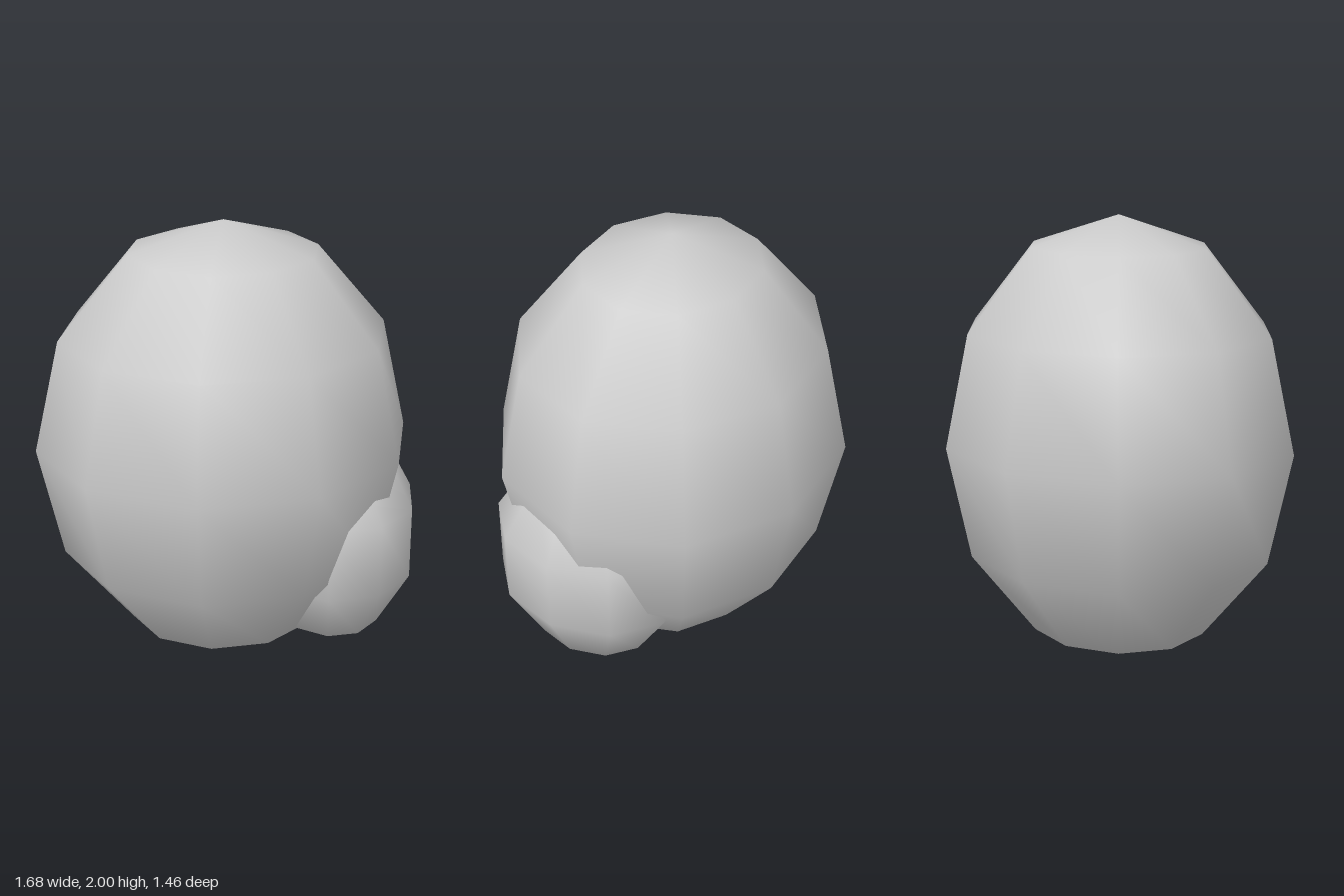
import * as THREE from 'three';

const material = new THREE.MeshStandardMaterial({ color: 0xcccccc });

// Low-sided ellipsoid with smooth normals
function ellipsoid(name, rings, radii, position) {
  const geometry = new THREE.SphereGeometry(1, 10, rings);
  geometry.scale(...radii);
  const mesh = new THREE.Mesh(geometry, material);
  mesh.name = name;
  mesh.position.set(...position);
  return mesh;
}

export function createModel() {
  const group = new THREE.Group();
  group.name = 'boulder';
  // Tall main body standing on its lower pole
  group.add(ellipsoid('mainBody', 6, [0.838, 1, 0.77], [0, 1, 0]));
  // Smaller lump sunk into the lower left front
  group.add(ellipsoid('sideLump', 5, [0.39, 0.534, 0.47], [0.468, 0.585, 0.13]));
  return group;
}
